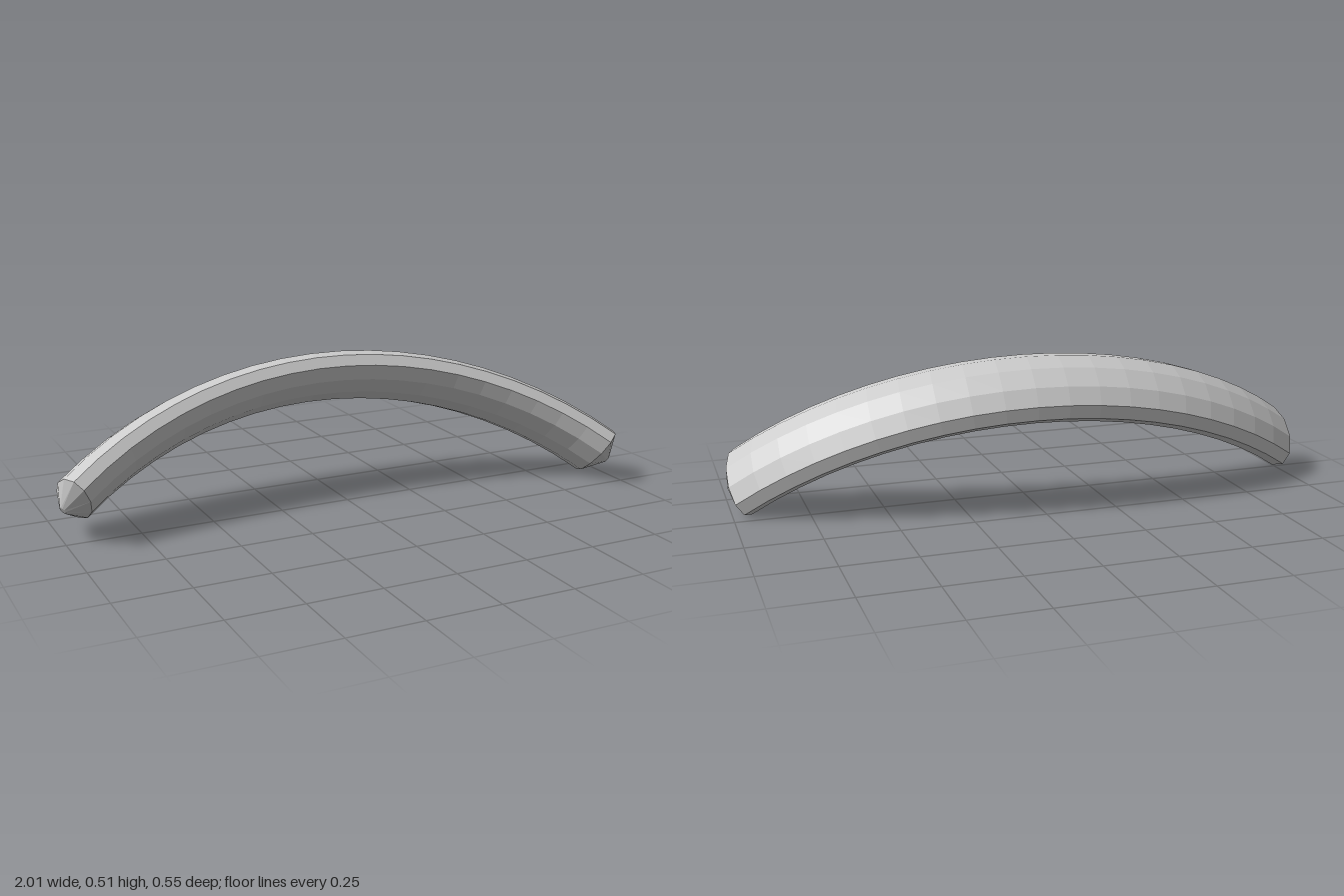
import * as THREE from 'three';

const SIDES = 11;
const SEGMENTS = 20;
const HALF_WIDTH = 0.142;
const HALF_THICKNESS = 0.073;

// Skin a list of rings; rings run along the arc, points turn from width to thickness axis.
function skin(name, rings, material) {
  const positions = [];
  for (let i = 0; i < rings.length - 1; i++) {
    for (let j = 0; j < SIDES; j++) {
      const k = (j + 1) % SIDES;
      const a = rings[i][j], b = rings[i + 1][j], c = rings[i][k], d = rings[i + 1][k];
      for (const tri of [[a, b, c], [c, b, d]]) {
        const [p, q, r] = tri;
        // skip triangles collapsed at the pole
        if (p.distanceTo(q) < 1e-6 || q.distanceTo(r) < 1e-6 || r.distanceTo(p) < 1e-6) continue;
        for (const v of tri) positions.push(v.x, v.y, v.z);
      }
    }
  }
  const geometry = new THREE.BufferGeometry();
  geometry.setAttribute('position', new THREE.Float32BufferAttribute(positions, 3));
  geometry.computeVertexNormals();
  const mesh = new THREE.Mesh(geometry, material);
  mesh.name = name;
  return mesh;
}

export function createModel() {
  const group = new THREE.Group();
  group.name = 'curvedBar';
  const material = new THREE.MeshStandardMaterial({ color: 0xcccccc, flatShading: true });

  // Circular arc in a tilted plane, set by its two ends and its crown
  const left = new THREE.Vector3(-0.957, 0.137, -0.036);
  const right = new THREE.Vector3(0.955, 0.091, 0.15);
  const crown = new THREE.Vector3(0.03, 0.412, -0.152);
  const middle = left.clone().add(right).multiplyScalar(0.5);
  const along = right.clone().sub(left).normalize();
  const up = crown.clone().sub(middle);
  up.addScaledVector(along, -up.dot(along));
  const sagitta = up.length();
  up.normalize();
  const across = along.clone().cross(up);
  const halfChord = left.distanceTo(right) / 2;
  const radius = (halfChord ** 2 + sagitta ** 2) / (2 * sagitta);
  const halfAngle = Math.asin(halfChord / radius);
  const hub = middle.clone().addScaledVector(up, sagitta - radius);

  // Elliptical ring at an arc angle, optionally pushed out along the tangent
  const ring = (angle, width, thickness, push = 0) => {
    const normal = up.clone().multiplyScalar(Math.cos(angle)).addScaledVector(along, Math.sin(angle));
    const tangent = along.clone().multiplyScalar(Math.cos(angle)).addScaledVector(up, -Math.sin(angle));
    const center = hub.clone().addScaledVector(normal, radius).addScaledVector(tangent, push);
    return Array.from({ length: SIDES }, (_, j) => {
      const t = Math.PI + (j / SIDES) * Math.PI * 2;
      return center.clone()
        .addScaledVector(across, width * Math.cos(t))
        .addScaledVector(normal, thickness * Math.sin(t));
    });
  };

  // Bar body
  const body = [];
  for (let i = 0; i <= SEGMENTS; i++) {
    body.push(ring(halfAngle * (2 * i / SEGMENTS - 1), HALF_WIDTH, HALF_THICKNESS));
  }
  group.add(skin('body', body, material));

  // Shallow cone at each end, closed by a tiny flat disc
  for (const side of [-1, 1]) {
    const angle = side * halfAngle, push = side * 0.053;
    const rings = [
      ring(angle, HALF_WIDTH, HALF_THICKNESS),
      ring(angle, 0.014, 0.014, push),
      ring(angle, 0, 0, push),
    ];
    if (side < 0) rings.reverse();
    group.add(skin(side < 0 ? 'rightEndCap' : 'leftEndCap', rings, material));
  }
  return group;
}
